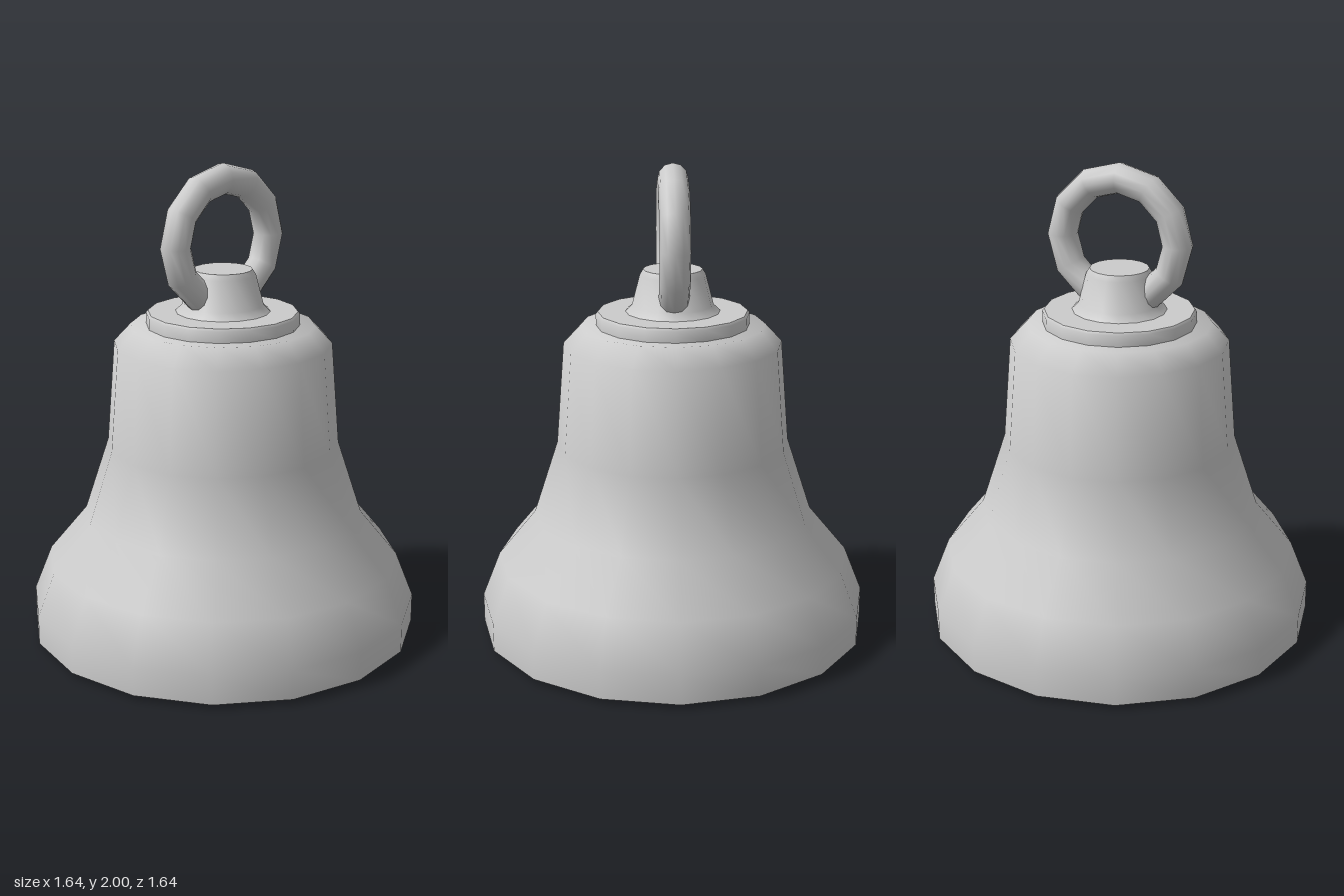
import * as THREE from 'three';
import { toCreasedNormals } from 'three/addons/utils/BufferGeometryUtils.js';

const SIDES = 16;

export function createModel() {
  const group = new THREE.Group();
  const metal = new THREE.MeshStandardMaterial({ color: 0xcccccc });

  const add = (name, geometry, y = 0) => {
    const mesh = new THREE.Mesh(geometry, metal);
    mesh.name = name;
    mesh.position.y = y;
    group.add(mesh);
  };
  // Turned part from [radius, height] pairs, softened across gentle bends
  const turned = (profile) => toCreasedNormals(
    new THREE.LatheGeometry(profile.map(([r, y]) => new THREE.Vector2(r, y)), SIDES), 0.9);

  // Hollow bell: down the inside, round the lip, up the outside
  add('bellBody', turned([
    [0, 1.3], [0.37, 1.3], [0.42, 1.25], [0.455, 0.83], [0.56, 0.51],
    [0.715, 0.32], [0.795, 0.135], [0.795, 0.018],
    [0.82, 0.018], [0.82, 0.14], [0.745, 0.33], [0.588, 0.52],
    [0.487, 0.83], [0.453, 1.26], [0.383, 1.335], [0, 1.335],
  ]));

  // Stepped crown plate
  add('crownPlate', turned([[0.318, 1.33], [0.318, 1.382], [0.31, 1.392], [0, 1.392]]));

  // Flared boss holding the ring
  add('crownBoss', turned([
    [0.2, 1.388], [0.168, 1.42], [0.136, 1.545], [0.122, 1.568], [0, 1.568],
  ]));

  // Hanging ring
  add('hangingRing', new THREE.TorusGeometry(0.253, 0.0625, 12, 12), 1.685);

  // Clapper
  add('clapperRod', new THREE.CylinderGeometry(0.015, 0.015, 1.02, 8), 0.8);
  add('clapperBall', new THREE.SphereGeometry(0.17, 12, 8), 0.17);

  return group;
}
